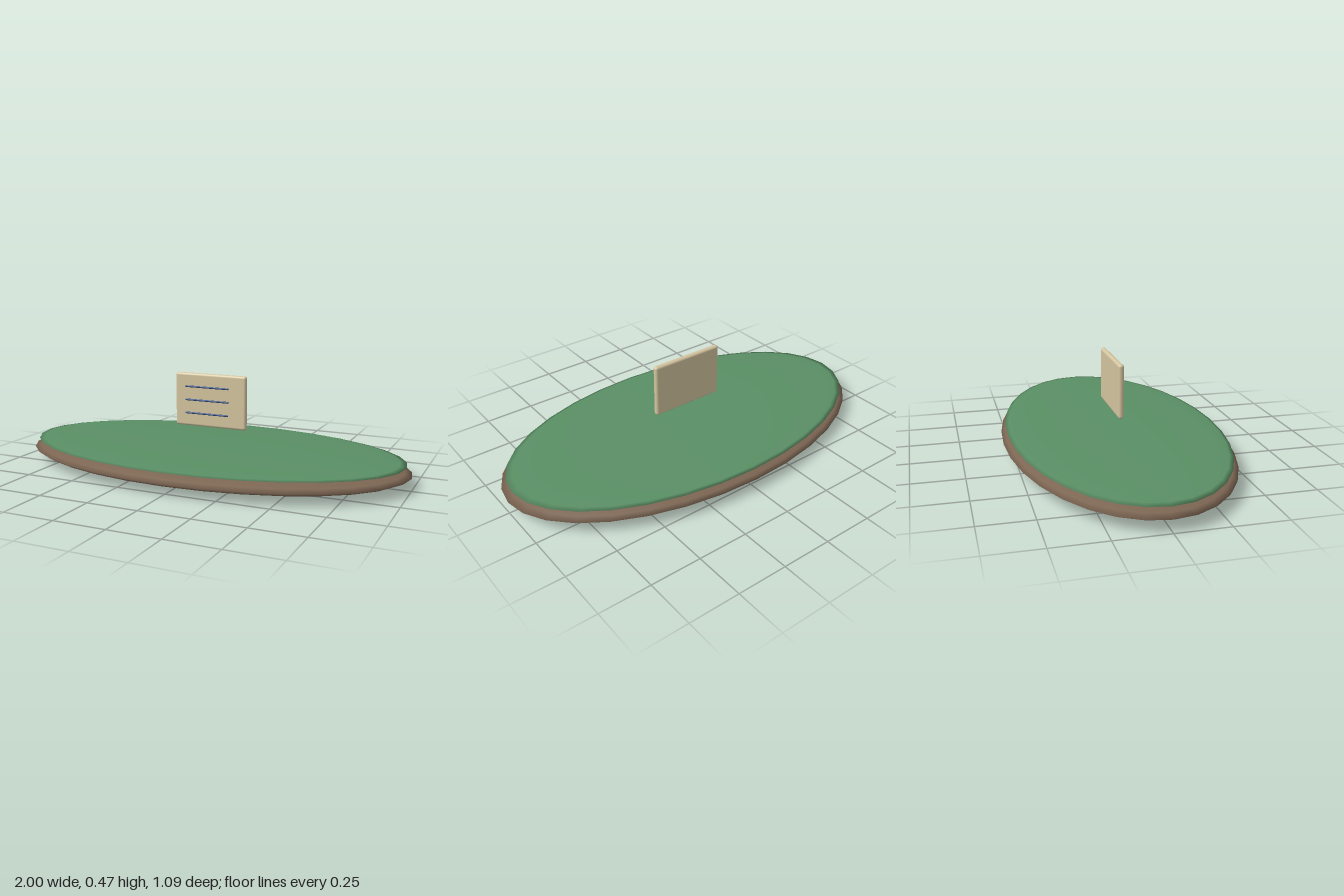
import * as THREE from 'three';
import { RoundedBoxGeometry } from 'three/addons/geometries/RoundedBoxGeometry.js';

export function createModel() {
  const mat = (name, color) => {
    const m = new THREE.MeshStandardMaterial({ color });
    m.name = name;
    return m;
  };
  const earth = mat('earth brown', 0x7d6653);
  const grass = mat('grass green', 0x5a8f65);
  const cream = mat('card cream', 0xd4c5a0);
  const ink = mat('ink blue', 0x2c4a80);

  const model = new THREE.Group();
  model.name = 'signIsland';
  const add = (name, geometry, material, x, y, z) => {
    const mesh = new THREE.Mesh(geometry, material);
    mesh.name = name;
    mesh.position.set(x, y, z);
    model.add(mesh);
    return mesh;
  };

  // Flattened oval ground, with a thinner grass layer over it
  const oval = (rx, ry, rz) => new THREE.SphereGeometry(1, 32, 12).scale(rx, ry, rz);
  add('soilBase', oval(1, 0.06, 0.547), earth, 0, 0.06, 0);
  add('grassTop', oval(0.975, 0.018, 0.525), grass, 0, 0.105, 0);

  // Floating upright card
  add('card', new RoundedBoxGeometry(0.38, 0.268, 0.028, 3, 0.012), cream, 0, 0.34, 0);

  // Thin rods standing just off the front of the card as written lines
  const rod = new THREE.CylinderGeometry(0.0045, 0.0045, 0.23, 10).rotateZ(Math.PI / 2);
  [0.274, 0.341, 0.408].forEach((y, i) => add(`textLine${i + 1}`, rod, ink, -0.015, y, 0.021));

  return model;
}
